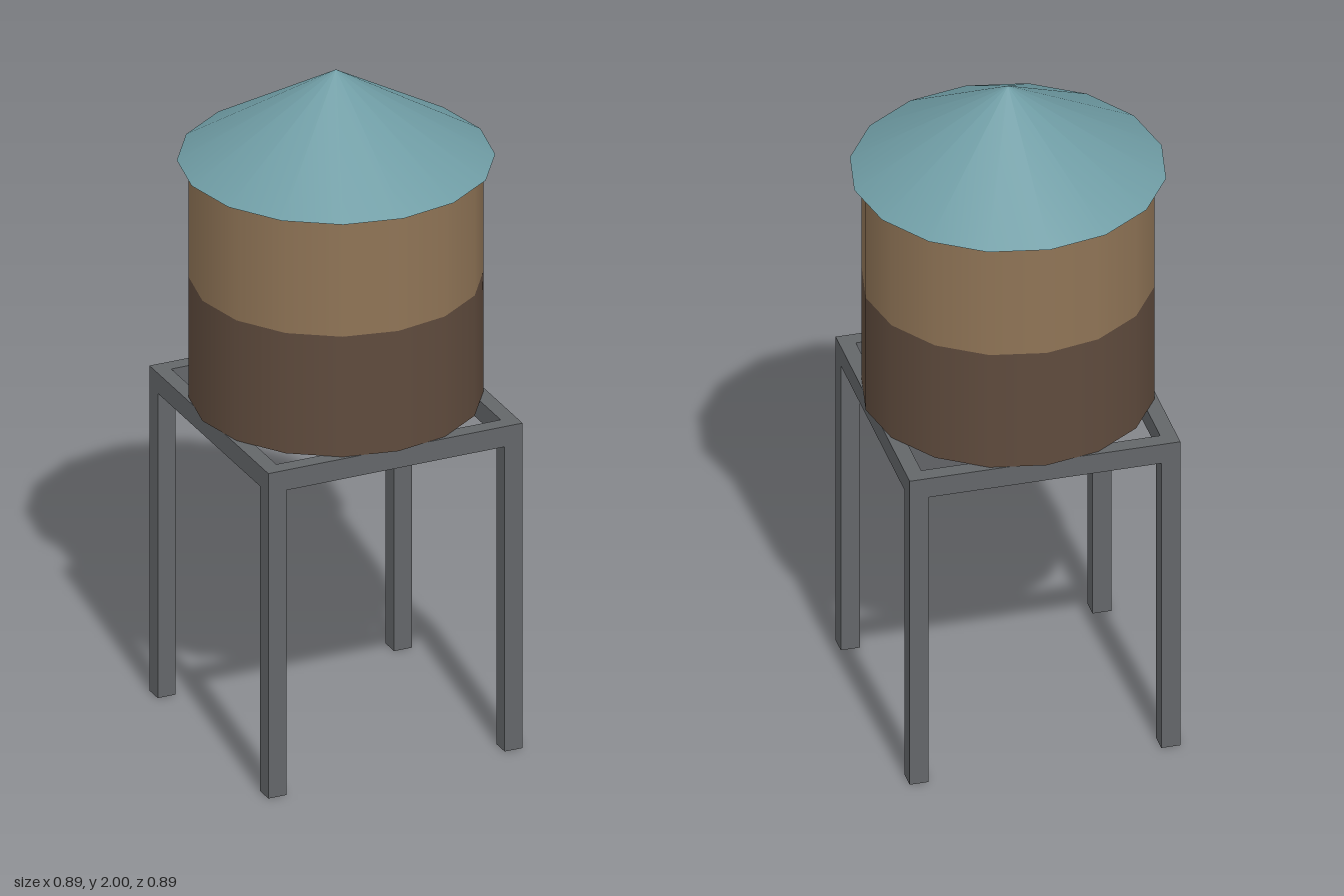
import * as THREE from 'three';

export function createModel() {
  const group = new THREE.Group();
  const mat = (name, color) => Object.assign(new THREE.MeshStandardMaterial({ color }), { name });
  const roofTeal = mat('roofTeal', 0x6f9ca4);
  const woodTan = mat('woodTan', 0x8f7456);
  const woodBrown = mat('woodBrown', 0x5f4b3d);
  const steelGrey = mat('steelGrey', 0x636669);

  const add = (name, geometry, material, x, y, z, parent = group) => {
    const mesh = new THREE.Mesh(geometry, material);
    mesh.name = name;
    mesh.position.set(x, y, z);
    parent.add(mesh);
    return mesh;
  };

  const SIDES = 16, TANK_R = 0.411, BASE = 1.0, SPLIT = 1.37, TOP = 1.73;

  // Tank: two wooden bands and a floor
  const band = (y0, y1) => new THREE.CylinderGeometry(TANK_R, TANK_R, y1 - y0, SIDES, 1, true);
  add('lowerTank', band(BASE, SPLIT), woodBrown, 0, (BASE + SPLIT) / 2, 0);
  add('upperTank', band(SPLIT, TOP), woodTan, 0, (SPLIT + TOP) / 2, 0);
  const floor = add('tankFloor', new THREE.CircleGeometry(TANK_R, SIDES), woodTan, 0, BASE, 0);
  floor.rotation.x = Math.PI / 2;

  // Conical roof with a slight overhang
  add('roof', new THREE.ConeGeometry(0.444, 2 - TOP, SIDES), roofTeal, 0, (2 + TOP) / 2, 0);

  // Stand: four legs, a square rim and a cross under the tank
  const stand = new THREE.Group();
  stand.name = 'stand';
  group.add(stand);
  const HALF = 0.391, LEG = 0.055, BEAM = 0.046, DEPTH = 0.062;
  const legAt = HALF - LEG / 2, beamAt = HALF - BEAM / 2, beamY = BASE - DEPTH / 2;
  const legH = BASE - DEPTH;
  for (const sx of [-1, 1]) for (const sz of [-1, 1]) {
    add('leg', new THREE.BoxGeometry(LEG, legH, LEG), steelGrey, sx * legAt, legH / 2, sz * legAt, stand);
  }
  const inner = 2 * (HALF - BEAM);
  for (const s of [-1, 1]) {
    add('rimBeam', new THREE.BoxGeometry(2 * HALF, DEPTH, BEAM), steelGrey, 0, beamY, s * beamAt, stand);
    add('sideRimBeam', new THREE.BoxGeometry(BEAM, DEPTH, inner), steelGrey, s * beamAt, beamY, 0, stand);
  }
  add('crossBeam', new THREE.BoxGeometry(inner, DEPTH, BEAM), steelGrey, 0, beamY, 0, stand);
  const half = (inner - BEAM) / 2;
  for (const s of [-1, 1]) {
    add('crossBeamHalf', new THREE.BoxGeometry(BEAM, DEPTH, half), steelGrey, 0, beamY, s * (BEAM + half) / 2, stand);
  }
  return group;
}
